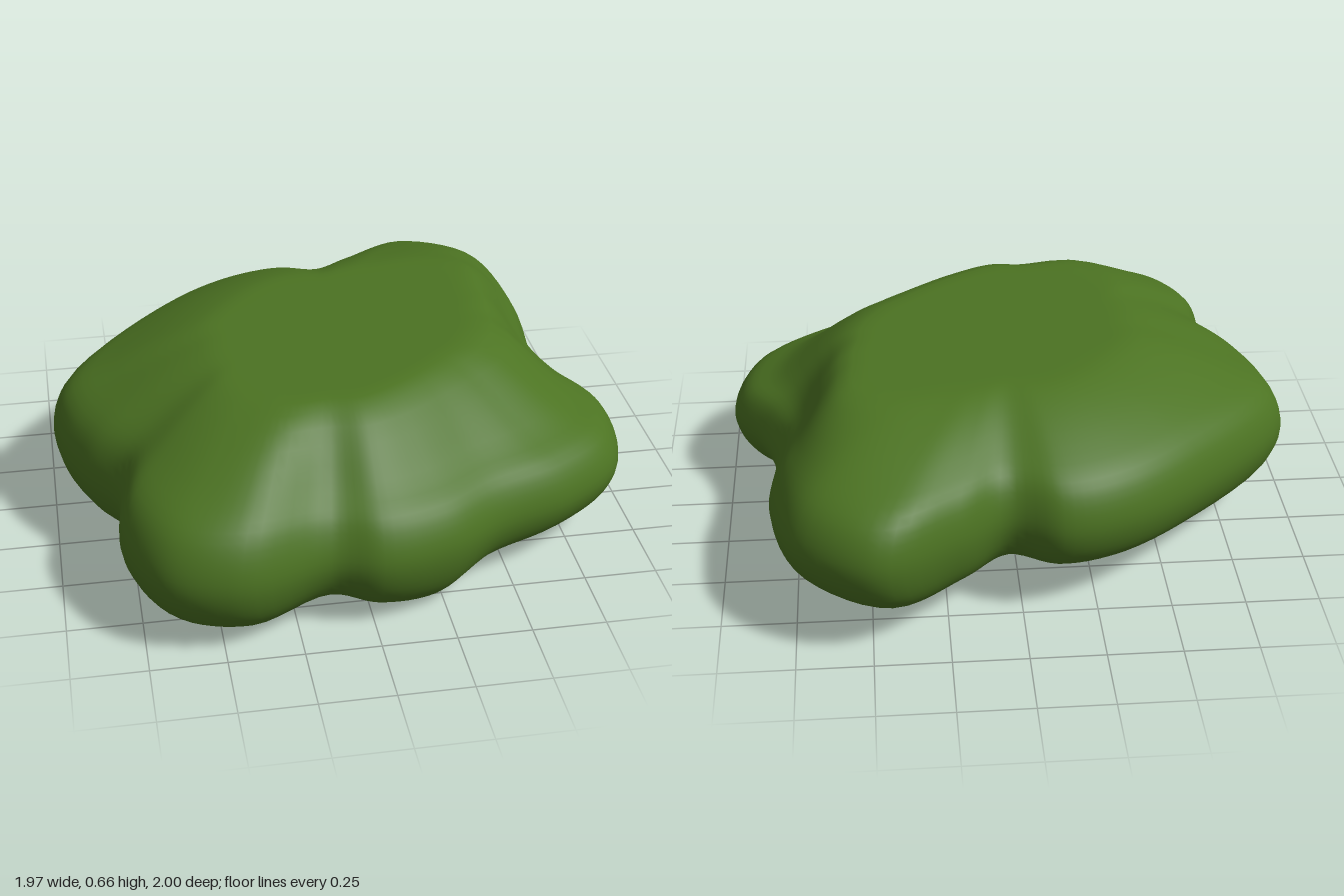
import * as THREE from 'three';

// Sections around the clump: x, z of the rim, rim height, underside height,
// plateau reach (fraction of rim radius), shoulder height
const SECTIONS = [
  [0.98, 0.2, 0.25, 0.08, 0.54, 0.44],
  [0.93, 0.46, 0.24, 0.07, 0.5, 0.44],
  [0.72, 0.64, 0.24, 0.07, 0.51, 0.45],
  [0.45, 0.76, 0.25, 0.06, 0.56, 0.46],
  [0.25, 0.88, 0.25, 0.0, 0.57, 0.46],
  [0.02, 0.94, 0.25, 0.03, 0.6, 0.47],
  [-0.15, 0.9, 0.25, 0.06, 0.62, 0.47],
  [-0.45, 1.0, 0.26, 0.03, 0.57, 0.51],
  [-0.68, 0.93, 0.26, 0.03, 0.53, 0.51],
  [-0.8, 0.7, 0.27, 0.04, 0.54, 0.52],
  [-0.795, 0.45, 0.28, 0.07, 0.55, 0.54],
  [-0.9, 0.27, 0.28, 0.07, 0.5, 0.54],
  [-0.97, 0.08, 0.28, 0.08, 0.46, 0.53],
  [-0.97, -0.14, 0.3, 0.1, 0.46, 0.53],
  [-0.62, -0.55, 0.33, 0.13, 0.49, 0.56],
  [-0.35, -0.75, 0.34, 0.14, 0.5, 0.56],
  [-0.13, -0.81, 0.34, 0.15, 0.5, 0.56],
  [0.05, -0.75, 0.35, 0.16, 0.52, 0.56],
  [0.22, -0.86, 0.35, 0.14, 0.49, 0.56],
  [0.48, -1.0, 0.35, 0.12, 0.45, 0.56],
  [0.74, -0.84, 0.33, 0.13, 0.55, 0.56],
  [0.83, -0.53, 0.3, 0.13, 0.68, 0.5],
  [0.82, -0.2, 0.27, 0.16, 0.69, 0.47],
  [0.88, 0.0, 0.26, 0.12, 0.62, 0.45],
];
const TOP = 0.66, HOLLOW = 0.33, AROUND = 144, DOWN = 48;

// Smooth closed interpolation of the section values
const rimCurve = new THREE.CatmullRomCurve3(SECTIONS.map(s => new THREE.Vector3(s[0], s[2], s[1])), true);
const shapeCurve = new THREE.CatmullRomCurve3(SECTIONS.map(s => new THREE.Vector3(s[3], s[4], s[5])), true);
function sectionAt(u) {
  const rim = rimCurve.getPoint(u), rest = shapeCurve.getPoint(u);
  return { x: rim.x, z: rim.z, rim: rim.y, bottom: rest.x, reach: rest.y, shoulder: rest.z };
}

// Profile from the flat top over the rim to the hollow underside
function profileOf(s) {
  const pts = [
    [0, TOP], [s.reach * 0.5, TOP], [s.reach, TOP - 0.005],
    [s.reach + 0.6 * (1 - s.reach), s.shoulder],
    [0.95, s.rim + (s.shoulder - s.rim) * 0.6],
    [1, s.rim],
    [0.95, s.rim + (s.bottom - s.rim) * 0.65],
    [0.83, s.bottom],
    [0.62, s.bottom + (HOLLOW - s.bottom) * 0.3],
    [0.35, s.bottom + (HOLLOW - s.bottom) * 0.8],
    [0, HOLLOW],
  ];
  return new THREE.CatmullRomCurve3(pts.map(([t, y]) => new THREE.Vector3(t, y, 0)));
}

// Rings from the top centre down to the centre of the hollow
function clumpGeometry() {
  const pos = [0, TOP, 0], index = [];
  const sections = [];
  for (let i = 0; i < AROUND; i++) {
    const s = sectionAt(i / AROUND);
    sections.push({ s, curve: profileOf(s) });
  }
  for (let j = 1; j < DOWN; j++) {
    for (const { s, curve } of sections) {
      const p = curve.getPoint(j / DOWN);
      pos.push(s.x * p.x, Math.min(TOP, Math.max(0, p.y)), s.z * p.x);
    }
  }
  pos.push(0, HOLLOW, 0);
  const last = pos.length / 3 - 1;
  const id = (j, i) => 1 + j * AROUND + (i % AROUND);
  for (let i = 0; i < AROUND; i++) {
    index.push(0, id(0, i + 1), id(0, i));
    for (let j = 0; j < DOWN - 2; j++) {
      const a = id(j, i), b = id(j, i + 1), c = id(j + 1, i), d = id(j + 1, i + 1);
      index.push(a, b, c, b, d, c);
    }
    index.push(last, id(DOWN - 2, i), id(DOWN - 2, i + 1));
  }
  const g = new THREE.BufferGeometry();
  g.setAttribute('position', new THREE.Float32BufferAttribute(pos, 3));
  g.setIndex(index);
  g.computeVertexNormals();
  return g;
}

export function createModel() {
  const green = new THREE.MeshStandardMaterial({ color: 0x4c7322 });
  green.name = 'leaf green';
  const clump = new THREE.Mesh(clumpGeometry(), green);
  clump.name = 'foliageClump';
  const model = new THREE.Group();
  model.name = 'foliage';
  model.add(clump);
  return model;
}
